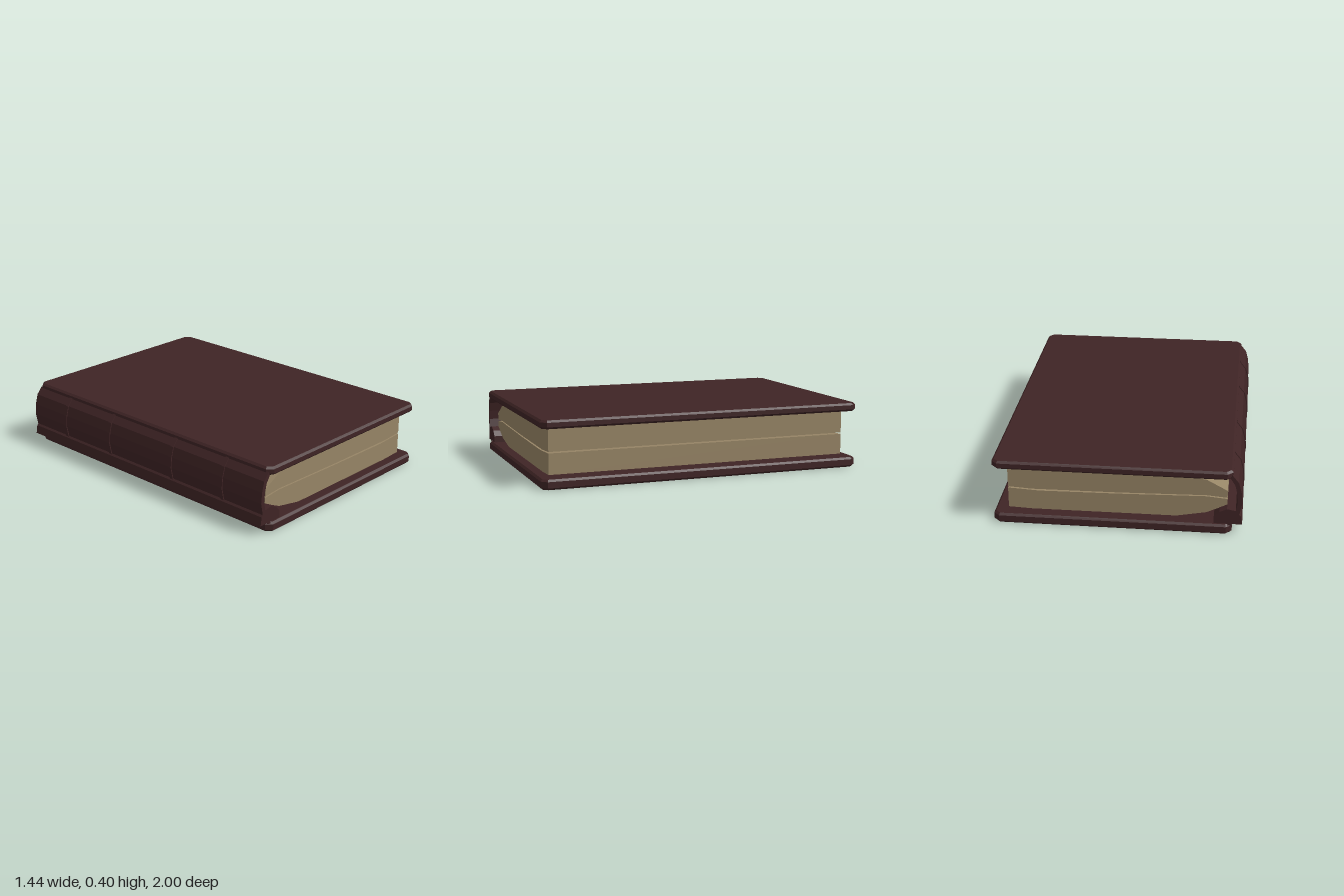
import * as THREE from 'three';

export function createModel() {
  const book = new THREE.Group();
  book.name = 'book';

  const leather = new THREE.MeshStandardMaterial({ color: 0x3f2425 });
  leather.name = 'dark brown leather';
  const paper = new THREE.MeshStandardMaterial({ color: 0x978566 });
  paper.name = 'aged paper';

  const add = (name, geometry, material) => {
    const mesh = new THREE.Mesh(geometry, material);
    mesh.name = name;
    book.add(mesh);
  };

  // Sweeps an x/y outline along z between two ends
  const sweep = (points, z0, z1) => {
    const shape = new THREE.Shape(points.map(([x, y]) => new THREE.Vector2(x, y)));
    return new THREE.ExtrudeGeometry(shape, { depth: z1 - z0, bevelEnabled: false }).translate(0, 0, z0);
  };

  // Cover boards: clipped corners and bevelled edges
  const board = (y0, y1) => {
    const b = 0.012, c = 0.026;
    const x0 = -0.66 + b, x1 = 0.715 - b, z = 1 - b;
    const outline = [
      [x0 + c, -z], [x1 - c, -z], [x1, -z + c], [x1, z - c],
      [x1 - c, z], [x0 + c, z], [x0, z - c], [x0, -z + c],
    ].map(([x, y]) => new THREE.Vector2(x, y));
    return new THREE.ExtrudeGeometry(new THREE.Shape(outline), {
      depth: y1 - y0 - 2 * b, bevelEnabled: true, bevelSize: b, bevelThickness: b, bevelSegments: 1,
    }).rotateX(-Math.PI / 2).translate(0, y0 + b, 0);
  };
  add('bottomCover', board(0, 0.06), leather);
  add('topCover', board(0.347, 0.397), leather);

  // Page blocks, narrowing towards the spine, with a thin gap between them
  add('upperPages', sweep([
    [-0.63, 0.245], [-0.63, 0.201], [-0.51, 0.211], [0, 0.2], [0.5, 0.196], [0.635, 0.205],
    [0.635, 0.338], [-0.1, 0.338], [-0.34, 0.333], [-0.51, 0.31],
  ], -0.93, 0.94), paper);
  add('lowerPages', sweep([
    [-0.63, 0.155], [-0.51, 0.1], [-0.34, 0.068], [0.5, 0.066], [0.635, 0.072],
    [0.635, 0.196], [0.45, 0.186], [0, 0.192], [-0.51, 0.204], [-0.63, 0.193],
  ], -0.93, 0.94), paper);

  // Curved spine
  const outer = [[-0.655, 0.373], [-0.692, 0.327], [-0.709, 0.265], [-0.715, 0.2], [-0.701, 0.13], [-0.682, 0.085], [-0.656, 0.055]];
  const inner = [[-0.63, 0.05], [-0.658, 0.095], [-0.678, 0.14], [-0.69, 0.2], [-0.685, 0.255], [-0.672, 0.31], [-0.645, 0.352]];
  add('spine', sweep([...outer, ...inner], -0.985, 0.985), leather);

  // Raised bands across the spine
  const band = [...outer.map(([x, y]) => [x - 0.006, y]), ...inner];
  for (const z of [-0.68, -0.27, 0.27, 0.68]) {
    add('spineBand', sweep(band, z - 0.012, z + 0.012), leather);
  }

  // Folded hinge along the foot of the spine
  add('spineHinge', sweep([
    [-0.718, 0.063], [-0.709, 0.115], [-0.68, 0.148], [-0.63, 0.158],
    [-0.587, 0.137], [-0.556, 0.104], [-0.556, 0.063],
  ], -0.985, 0.985), leather);

  return book;
}
